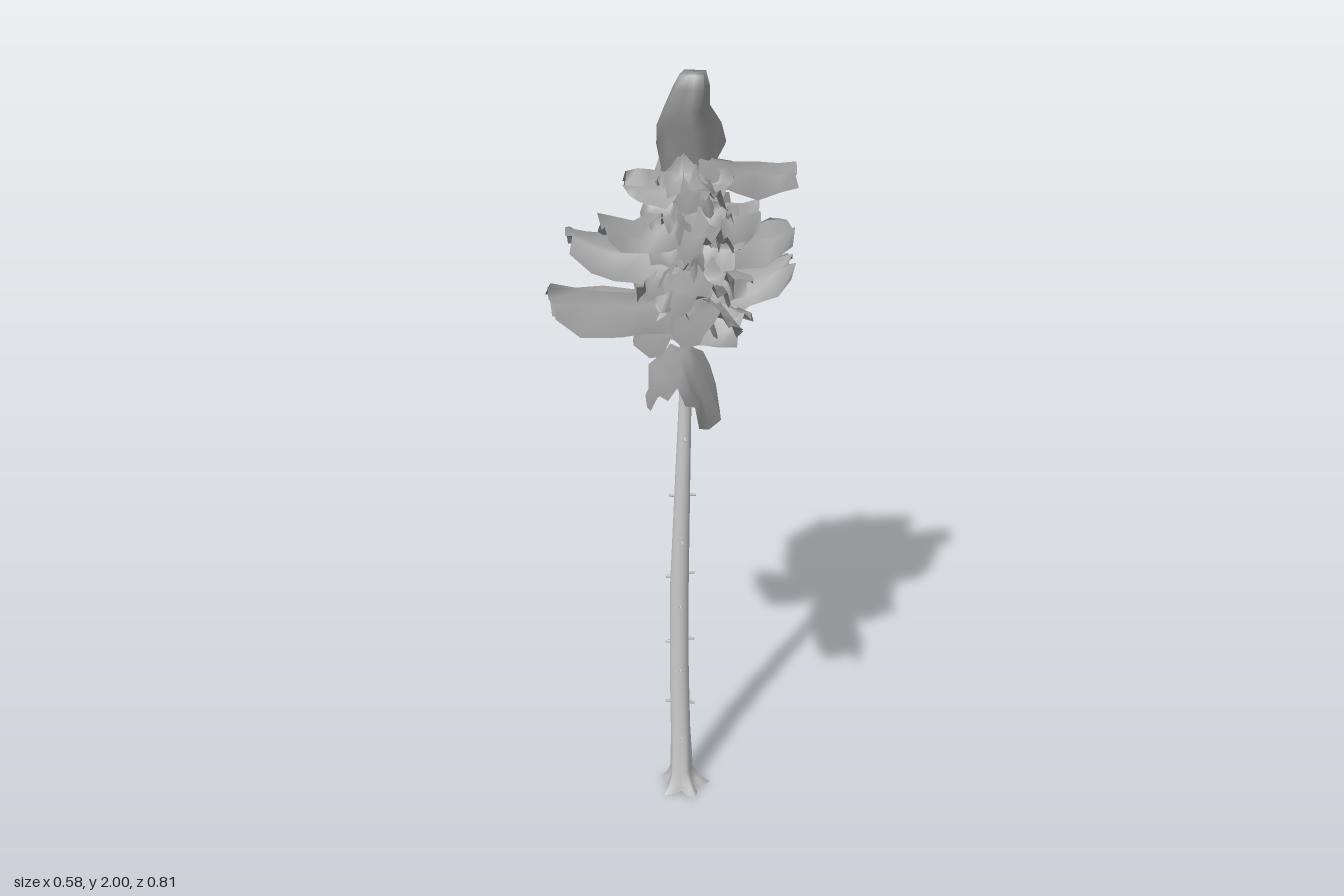
import * as THREE from 'three';
import { mergeVertices } from 'three/addons/utils/BufferGeometryUtils.js';

const bark = new THREE.MeshStandardMaterial({ color: 0xcccccc, side: THREE.DoubleSide });
const needles = new THREE.MeshStandardMaterial({ color: 0x9c9c9c, side: THREE.DoubleSide });

// Seeded jitter in -1..1
let seed = 7;
function jitter() {
  seed = (seed * 16807) % 2147483647;
  return (seed / 2147483647) * 2 - 1;
}

// Trunk centre line and radius at a few heights: y, x, z, radius
const TRUNK = [
  [0, 0.04, -0.04, 0.052], [0.025, 0.036, -0.038, 0.038], [0.06, 0.032, -0.037, 0.029],
  [0.2, 0.03, -0.04, 0.026], [0.4, 0.027, -0.045, 0.025], [0.65, 0.026, -0.037, 0.024],
  [0.9, 0.03, -0.024, 0.02], [1.15, 0.035, -0.016, 0.016], [1.35, 0.038, -0.012, 0.011],
  [1.6, 0.045, 0, 0.009], [1.9, 0.045, 0.01, 0.004],
];
function trunkAt(y) {
  let i = 0;
  while (i < TRUNK.length - 2 && TRUNK[i + 1][0] < y) i++;
  const a = TRUNK[i], b = TRUNK[i + 1], t = (y - a[0]) / (b[0] - a[0]);
  const [x, z, r] = [1, 2, 3].map((k) => a[k] + (b[k] - a[k]) * t);
  return { x, z, r };
}

function makeMesh(name, geometry, material) {
  const mesh = new THREE.Mesh(geometry, material);
  mesh.name = name;
  return mesh;
}

// Smooth upright shell: pointAt(row, angle) places each vertex, rows run from bottom to top
function shell(name, material, sides, rows, pointAt) {
  let g = new THREE.CylinderGeometry(1, 1, 1, sides, rows - 1, true);
  const p = g.attributes.position;
  for (let i = 0; i < p.count; i++) {
    const row = Math.round((0.5 - p.getY(i)) * (rows - 1));
    p.setXYZ(i, ...pointAt(rows - 1 - row, Math.atan2(p.getZ(i), p.getX(i))));
  }
  g.deleteAttribute('uv');
  g.deleteAttribute('normal');
  g = mergeVertices(g);
  g.computeVertexNormals();
  return makeMesh(name, g, material);
}

// Tapered trunk whose foot spreads into five root lobes
function makeTrunk() {
  return shell('trunk', bark, 20, TRUNK.length, (row, a) => {
    const [y, x, z, r] = TRUNK[row];
    const lobe = 1 + 0.38 * Math.max(0, 1 - y / 0.08) * Math.cos(5 * a);
    return [x + Math.cos(a) * r * lobe, y, z + Math.sin(a) * r * lobe];
  });
}

// Short dead twig sticking out of the trunk
function makeTwig(y, angle, length) {
  const c = trunkAt(y);
  const dir = new THREE.Vector3(Math.cos(angle), 0.25 * jitter(), Math.sin(angle)).normalize();
  const twig = makeMesh('twig', new THREE.CylinderGeometry(0.003, 0.005, length, 5), bark);
  twig.quaternion.setFromUnitVectors(new THREE.Vector3(0, 1, 0), dir);
  twig.position.set(c.x, y, c.z).addScaledVector(dir, c.r + length / 2 - 0.005);
  return twig;
}

// Smooth sheet from a rows x cols grid of points
function sheet(name, rows, cols, pointAt) {
  const pos = [], index = [];
  for (let r = 0; r < rows; r++) {
    for (let c = 0; c < cols; c++) {
      pos.push(...pointAt(r / (rows - 1), (c / (cols - 1)) * 2 - 1));
      if (r && c) {
        const d = r * cols + c, b = d - cols;
        index.push(b - 1, b, d - 1, b, d, d - 1);
      }
    }
  }
  const g = new THREE.BufferGeometry();
  g.setAttribute('position', new THREE.Float32BufferAttribute(pos, 3));
  g.setIndex(index);
  g.computeVertexNormals();
  return makeMesh(name, g, needles);
}

// Bough: a steep, pleated tent of needles running from the trunk out to a ragged, blunt tip
function makeBough(name, [rootY, tipX, tipY, tipZ, width, sag = 0.02, roll = 0]) {
  const c = trunkAt(rootY);
  const dx = tipX - c.x, dz = tipZ - c.z, len = Math.hypot(dx, dz);
  const fx = dx / len, fz = dz / len;
  const drop = Math.min(0.075, width * 0.5);
  const columns = [0, 1, 2, 3, 4, 5, 6].map(() => 0.009 * jitter());
  return sheet(name, 6, 7, (t, u) => {
    const edge = Math.abs(u);
    const half = (width / 2) * (0.66 + 0.36 * Math.sin(Math.PI * t ** 0.8)) * (1 + 0.16 * jitter());
    const along = len * t + (t > 0.9 ? 0.01 * jitter() - 0.008 * edge : 0.014 * jitter());
    const pleat = 0.011 * Math.cos(u * 9.4) + columns[Math.round(u * 3 + 3)] + 0.01 * jitter();
    const fade = 0.6 + 0.4 * Math.sin(Math.PI * t);
    const y = rootY + (tipY - rootY) * t - sag * Math.sin(Math.PI * t)
      - drop * fade * edge ** 1.5 + pleat + roll * u * half;
    const s = u * half;
    return [c.x + fx * along - fz * s, y, c.z + fz * along + fx * s];
  });
}

// Leading tuft: a fluted shell that leans forward, from y, x, z, half width x, half depth z
const TUFT = [
  [1.78, 0.055, -0.035, 0.064, 0.055], [1.82, 0.05, -0.035, 0.072, 0.064],
  [1.87, 0.042, -0.015, 0.068, 0.06], [1.92, 0.033, 0.015, 0.05, 0.05],
  [1.97, 0.04, 0.032, 0.042, 0.038], [2.0, 0.043, 0.038, 0.032, 0.028], [2.0, 0.045, 0.038, 0, 0],
];
function makeTuft() {
  return shell('topTuft', needles, 12, TUFT.length, (k, a) => {
    const [y, x, z, rx, rz] = TUFT[k];
    const flute = 0.94 + 0.17 * Math.cos(4 * a + k * 0.35);
    const ragged = k === 0 ? 0.03 * Math.cos(3 * a) : 0;
    return [x + Math.cos(a) * rx * flute, y + ragged, z + Math.sin(a) * rz * flute];
  });
}

// rootY, tip x, y, z, width, sag, roll
const BOUGHS = [
  // lowest pair
  [1.35, -0.04, 1.40, 0.4, 0.16, 0.015, 0.3], [1.36, 0.02, 1.335, -0.4, 0.18, 0, 0.15],
  // second tier
  [1.47, -0.285, 1.51, 0.06, 0.12, 0.01, 0.2], [1.45, -0.285, 1.49, -0.025, 0.13, 0, -0.2],
  [1.48, 0.285, 1.54, -0.025, 0.13, 0.01], [1.5, 0.255, 1.51, -0.08, 0.11, 0.01],
  [1.49, 0.075, 1.52, 0.26, 0.15, 0.01, -0.2], [1.49, -0.03, 1.54, -0.305, 0.15, 0.02, 0.2],
  // third tier
  [1.62, -0.235, 1.645, -0.01, 0.14, 0.02], [1.6, 0.285, 1.62, -0.05, 0.13, 0],
  [1.57, 0.06, 1.58, 0.24, 0.14, 0.015], [1.62, 0, 1.63, -0.255, 0.15, 0.02],
  // fourth tier
  [1.69, -0.165, 1.68, 0.06, 0.12, 0.02], [1.71, 0.2, 1.67, -0.02, 0.12, 0.02],
  [1.69, 0.08, 1.69, 0.2, 0.12, 0.015], [1.73, 0.02, 1.73, -0.205, 0.13, 0.02],
  // fifth tier
  [1.78, -0.11, 1.77, 0.01, 0.11, 0.01], [1.81, 0.285, 1.755, -0.03, 0.1, 0.015],
  [1.78, 0.06, 1.785, 0.195, 0.1, 0.015], [1.81, 0.05, 1.785, -0.14, 0.12, 0.01],
];

export function createModel() {
  const model = new THREE.Group();
  model.name = 'pineTree';
  model.add(makeTrunk());

  const twigs = new THREE.Group();
  twigs.name = 'twigs';
  const front = Math.PI / 2;
  for (const y of [0.28, 0.48, 0.68, 0.92]) twigs.add(makeTwig(y, 0.1, 0.02), makeTwig(y - 0.005, Math.PI, 0.018));
  for (const y of [0.17, 0.39, 0.59, 0.79]) twigs.add(makeTwig(y, front, 0.018), makeTwig(y, -front, 0.026));
  twigs.add(makeTwig(1.09, -front, 0.02), makeTwig(1.09, front, 0.016));
  model.add(twigs);

  const crown = new THREE.Group();
  crown.name = 'crown';
  for (const b of BOUGHS) crown.add(makeBough('bough', b));

  // Short drooping sprays between the boughs spiral up the trunk and fill the crown
  for (let i = 0; i < 28; i++) {
    const y = 1.48 + i * 0.0118, a = i * 2.4 + 0.7, reach = 0.155 - i * 0.0025;
    const c = trunkAt(y);
    const tip = [c.x + Math.cos(a) * reach, y - 0.03, c.z + Math.sin(a) * reach];
    crown.add(makeBough('innerSpray', [y, ...tip, 0.12 - i * 0.001, 0, 0.4 * jitter()]));
  }
  crown.add(makeTuft());
  model.add(crown);
  return model;
}
